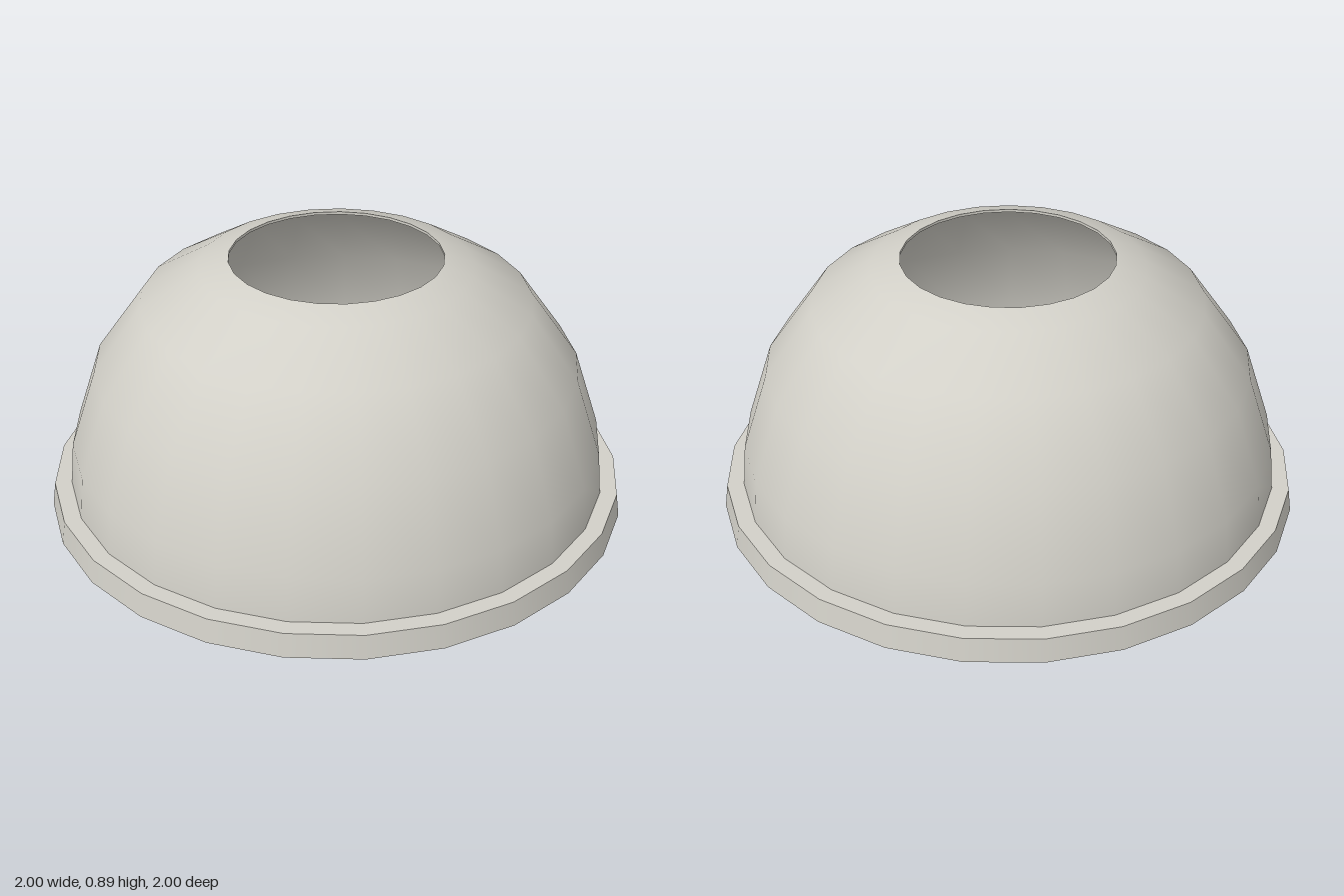
import * as THREE from 'three';

const SIDES = 25;
const THICK = 0.01;

export function createModel() {
  const model = new THREE.Group();
  model.name = 'openDome';
  const paint = new THREE.MeshStandardMaterial({ color: 0xd2d0c8 });
  paint.name = 'warmGrey';

  // One smooth turned band; separate bands keep the creases sharp.
  // Profiles that rise face outward, profiles that fall face inward.
  const band = (name, profile) => {
    const points = profile.map(([r, y]) => new THREE.Vector2(r, y));
    const mesh = new THREE.Mesh(new THREE.LatheGeometry(points, SIDES), paint);
    mesh.name = name;
    mesh.position.z = -0.004;
    model.add(mesh);
  };

  // Dome shell, open at the top
  const dome = [
    [0.932, 0.083], [0.917, 0.235], [0.826, 0.507],
    [0.661, 0.737], [0.46, 0.856], [0.36, 0.887],
  ];
  const inner = dome.map(([r, y], i) => {
    if (i === dome.length - 1) return [r, y - THICK];
    const len = Math.hypot(r, y);
    return [r - (r / len) * THICK, i === 0 ? y - THICK : y - (y / len) * THICK];
  });
  band('domeOutside', dome);
  band('domeInside', inner.slice().reverse());
  band('openingEdge', [dome[5], inner[5]]);

  // Stepped rim around the base
  band('rimLedge', [[0.99, 0.083], dome[0]]);
  band('rimOutside', [[1.002, 0], [0.99, 0.083]]);
  band('rimUnderLedge', [inner[0], [0.98, 0.073]]);
  band('rimInside', [[0.98, 0.073], [0.988, 0]]);
  band('rimBottom', [[0.988, 0], [1.002, 0]]);

  return model;
}
